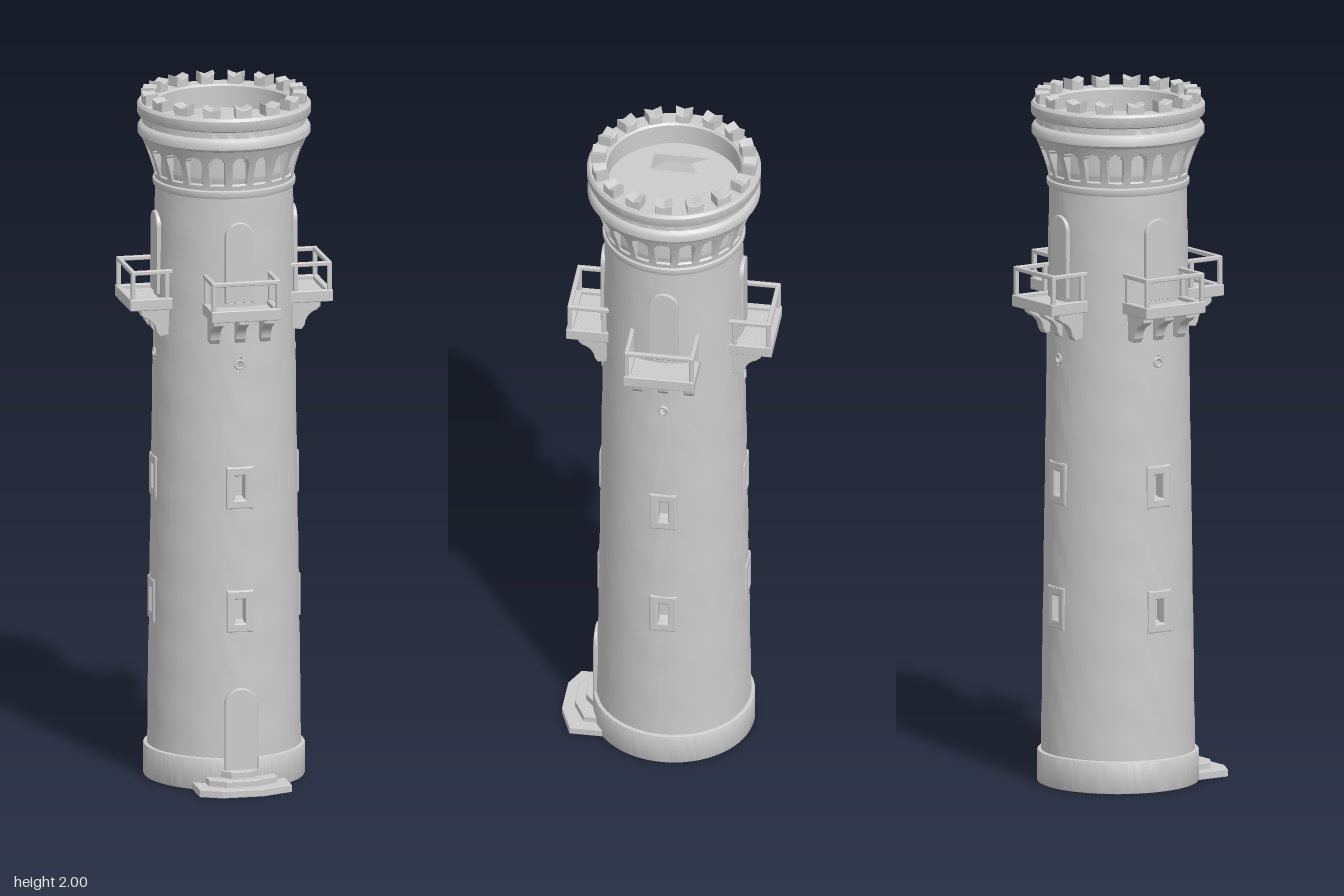
import * as THREE from 'three';
import { toCreasedNormals } from 'three/addons/utils/BufferGeometryUtils.js';
import { RoundedBoxGeometry } from 'three/addons/geometries/RoundedBoxGeometry.js';
import { ConvexGeometry } from 'three/addons/geometries/ConvexGeometry.js';

const stone = new THREE.MeshStandardMaterial({ color: 0xcccccc, side: THREE.DoubleSide });

function add(parent, name, geometry, x = 0, y = 0, z = 0) {
  const mesh = new THREE.Mesh(geometry, stone);
  mesh.name = name;
  mesh.position.set(x, y, z);
  parent.add(mesh);
  return mesh;
}

function box(parent, name, w, h, d, x, y, z, r = 0.003) {
  return add(parent, name, new RoundedBoxGeometry(w, h, d, 2, r), x, y, z);
}

// Round wall on a grid of angles and heights, its radius set by a rule
function roundWall(angles, heights, radius) {
  const cols = angles.length - 1, rows = heights.length - 1;
  const geometry = new THREE.CylinderGeometry(1, 1, 1, cols, rows, true);
  const pos = geometry.attributes.position;
  for (let j = 0; j <= rows; j++) {
    for (let i = 0; i <= cols; i++) {
      const a = angles[i], y = heights[rows - j], r = radius(a, y);
      pos.setXYZ(j * (cols + 1) + i, r * Math.sin(a), y, r * Math.cos(a));
    }
  }
  return toCreasedNormals(geometry, 0.6);
}

function lathe(points, segments = 96) {
  return toCreasedNormals(new THREE.LatheGeometry(points.map(p => new THREE.Vector2(...p)), segments), 0.6);
}

const range = (n, f) => Array.from({ length: n }, (_, i) => f(i));
const bodyRadius = y => 0.221 - 0.025 * y / 1.74;

// Openings: half width, foot and top of the straight jamb
const UPPER = { w: 0.028, y0: 1.42, y1: 1.613 };
const GROUND = { w: 0.032, y0: 0.06, y1: 0.25 };
const WINDOWS = [0.52, 0.88];

function inArch({ w, y0, y1 }, x, y) {
  w += 0.005;
  return Math.abs(x) < w && y > y0 && (y < y1 || x * x + (y - y1) ** 2 < w * w);
}

function wallRadius(a, y) {
  const r = bodyRadius(y);
  const side = Math.round(a / (Math.PI / 2)), x = (a - side * Math.PI / 2) * r;
  const open = inArch(UPPER, x, y) || (side === 0 && inArch(GROUND, x, y))
    || WINDOWS.some(c => Math.abs(x) < 0.0185 && Math.abs(y - c) < 0.039)
    || Math.hypot(x, y - 1.24) < 0.011;
  const wear = 0.0009 * Math.sin(a * 12 + 9 * y) * Math.sin(31 * y + 3 * Math.cos(a * 5));
  return open ? r - 0.035 : r + wear;
}

function archShape(w, y0, y1, Type = THREE.Shape) {
  const s = new Type();
  s.moveTo(-w, y0).lineTo(w, y0).lineTo(w, y1).absarc(0, y1, w, 0, Math.PI, false).lineTo(-w, y0);
  return s;
}

function rectShape(w, h, Type = THREE.Shape) {
  return new Type().setFromPoints([[-w, -h], [w, -h], [w, h], [-w, h], [-w, -h]].map(p => new THREE.Vector2(...p)));
}

function extrude(shape, depth, bevel = 0.003) {
  return new THREE.ExtrudeGeometry(shape, {
    depth, curveSegments: 20, bevelEnabled: bevel > 0, bevelSize: bevel, bevelThickness: bevel, bevelOffset: -bevel, bevelSegments: 2,
  });
}

function archFrame(parent, name, { w, y0, y1 }, border, front) {
  const s = archShape(w + border, y0, y1);
  s.holes.push(archShape(w, y0 + 0.004, y1, THREE.Path));
  add(parent, name, extrude(s, 0.032), 0, 0, front - 0.035);
}

// Horizontal plate cut from a plan shape (shape y becomes z)
function plate(shape, y, height) {
  return extrude(shape, height - 0.004, 0.002).rotateX(Math.PI / 2).translate(0, y + height - 0.002, 0);
}

function buildBalcony(parent) {
  const g = new THREE.Group();
  g.name = 'balcony';
  parent.add(g);
  box(g, 'balconyFloor', 0.19, 0.022, 0.125, 0, 1.397, 0.2275);
  box(g, 'balconyFrontLip', 0.204, 0.034, 0.018, 0, 1.403, 0.287);
  const rail = 0.013;
  box(g, 'frontRail', 0.2, rail, rail, 0, 1.496, 0.286);
  for (const s of [-1, 1]) {
    box(g, 'balconySideLip', 0.018, 0.034, 0.125, s * 0.093, 1.403, 0.232);
    box(g, 'sideRail', rail, rail, 0.12, s * 0.0935, 1.496, 0.23);
    for (const z of [0.188, 0.286]) box(g, 'railPost', rail, 0.1, rail, s * 0.0935, 1.452, z);
  }
  // Curved brackets: the profile runs outward from the wall
  const p = new THREE.Shape();
  p.moveTo(0.17, 1.31).lineTo(0.207, 1.305).lineTo(0.216, 1.318);
  p.quadraticCurveTo(0.22, 1.35, 0.25, 1.36).lineTo(0.262, 1.37).lineTo(0.262, 1.39).lineTo(0.17, 1.39);
  for (const x of [-0.074, 0, 0.074]) {
    add(g, 'bracket', extrude(p, 0.024).rotateY(-Math.PI / 2), x + 0.012, 0, 0);
  }
}

function buildSide(parent, index) {
  const g = new THREE.Group();
  g.name = 'towerSide';
  g.rotation.y = index * Math.PI / 2;
  parent.add(g);
  buildBalcony(g);
  archFrame(g, 'balconyDoorFrame', UPPER, 0.014, 0.206);
  for (const y of WINDOWS) {
    const s = rectShape(0.04, 0.062);
    s.holes.push(rectShape(0.014, 0.034, THREE.Path));
    add(g, 'windowFrame', extrude(s, 0.034, 0.005), 0, y, bodyRadius(y) - 0.037);
  }
  add(g, 'drainRing', new THREE.TorusGeometry(0.012, 0.004, 8, 20), 0, 1.24, bodyRadius(1.24));
}

function buildCrown(parent) {
  // Flared arcade with arched niches between the corbels
  const count = 20, per = 14, step = Math.PI * 2 / count;
  const angles = range(count * per + 1, i => i * step / per);
  const heights = range(29, i => 1.742 + 0.132 * i / 28);
  add(parent, 'corbelArcade', roundWall(angles, heights, (a, y) => {
    const r = 0.197 + 0.043 * ((y - 1.742) / 0.132) ** 1.4;
    const x = (a - Math.round(a / step) * step) * 0.215;
    return inArch({ w: 0.015, y0: 1.765, y1: 1.828 }, x, y) ? Math.min(r - 0.006, 0.199) : r;
  }));
  add(parent, 'neckRing', lathe([[0.19, 1.722], [0.2, 1.724], [0.204, 1.733], [0.203, 1.744], [0.192, 1.75]]));
  add(parent, 'parapet', lathe([[0.23, 1.866], [0.241, 1.87], [0.246, 1.877], [0.246, 1.895], [0.241, 1.903], [0.233, 1.908],
    [0.233, 1.926], [0.245, 1.931], [0.248, 1.937], [0.248, 1.96], [0.242, 1.968], [0.197, 1.968], [0.191, 1.962], [0.19, 1.9], [0, 1.9]]));
  // Notched merlons
  const m = new THREE.Shape();
  m.moveTo(-0.024, -0.005).lineTo(0.024, -0.005).lineTo(0.026, 0.034).lineTo(0, 0.025).lineTo(-0.026, 0.034);
  for (let i = 0; i < 16; i++) {
    const geometry = extrude(m, 0.034);
    const pos = geometry.attributes.position;
    for (let k = 0; k < pos.count; k++) pos.setX(k, pos.getX(k) * (0.8 + 5 * pos.getZ(k)));
    geometry.computeVertexNormals();
    geometry.translate(0, 1.966, 0.199);
    add(parent, 'merlon', geometry).rotation.y = i * Math.PI / 8 + 0.02;
  }
  // Sloping hatch on the roof
  const hatch = [[-0.135, 0, -0.09], [-0.135, 0, 0.08], [-0.056, 0, -0.06], [-0.056, 0, 0.08],
    [-0.064, 0.03, -0.04], [-0.064, 0.03, 0.03]];
  add(parent, 'roofHatch', new ConvexGeometry(hatch.map(p => new THREE.Vector3(...p))), 0, 1.898, 0);
}

function buildEntrance(parent) {
  archFrame(parent, 'entranceFrame', { ...GROUND, y0: 0.03 }, 0.015, 0.226);
  // Faceted steps: half width and reach, widest at the ground
  [[0.135, 0.316, 0.022], [0.1, 0.28, 0.04], [0.062, 0.25, 0.06]].forEach(([w, z, h]) => {
    const s = new THREE.Shape();
    s.moveTo(-w, 0.15).lineTo(w, 0.15).lineTo(w, z - 0.035).lineTo(w * 0.33, z).lineTo(-w * 0.55, z).lineTo(-w, z - 0.03);
    add(parent, 'entranceStep', plate(s, 0, h));
  });
}

export function createModel() {
  const tower = new THREE.Group();
  tower.name = 'roundTower';
  const body = new THREE.Group();
  body.name = 'tower';
  body.position.z = -0.012;
  tower.add(body);

  // Shaft, with grid lines gathered around the openings
  const half = [0.03, 0.065, 0.085, 0.105, 0.13, 0.155, 0.19, 0.25, 0.35, 0.45, 0.55, 0.66];
  const quarter = [-Math.PI / 4, ...half.map(a => -a).reverse(), 0, ...half];
  const angles = range(4, q => quarter.map(a => a + q * Math.PI / 2)).flat();
  angles.push(Math.PI * 1.75);
  add(body, 'shaft', roundWall(angles, range(176, i => 1.75 * i / 175), wallRadius));
  add(body, 'underside', new THREE.CircleGeometry(0.222, 64).rotateX(Math.PI / 2), 0, 0.001, 0);

  // Plinth, open at the entrance
  const gap = 0.22, ring = new THREE.Shape();
  ring.absarc(0, 0, 0.231, Math.PI / 2 + gap, Math.PI * 2.5 - gap, false);
  ring.absarc(0, 0, 0.19, Math.PI * 2.5 - gap, Math.PI / 2 + gap, true);
  const plinth = new THREE.ExtrudeGeometry(ring, {
    depth: 0.082, curveSegments: 80, bevelSize: 0.006, bevelThickness: 0.006, bevelOffset: -0.006, bevelSegments: 2,
  }).rotateX(Math.PI / 2);
  add(body, 'plinth', toCreasedNormals(plinth, 0.5), 0, 0.088, 0);

  for (let i = 0; i < 4; i++) buildSide(body, i);
  buildEntrance(body);
  buildCrown(body);
  return tower;
}
